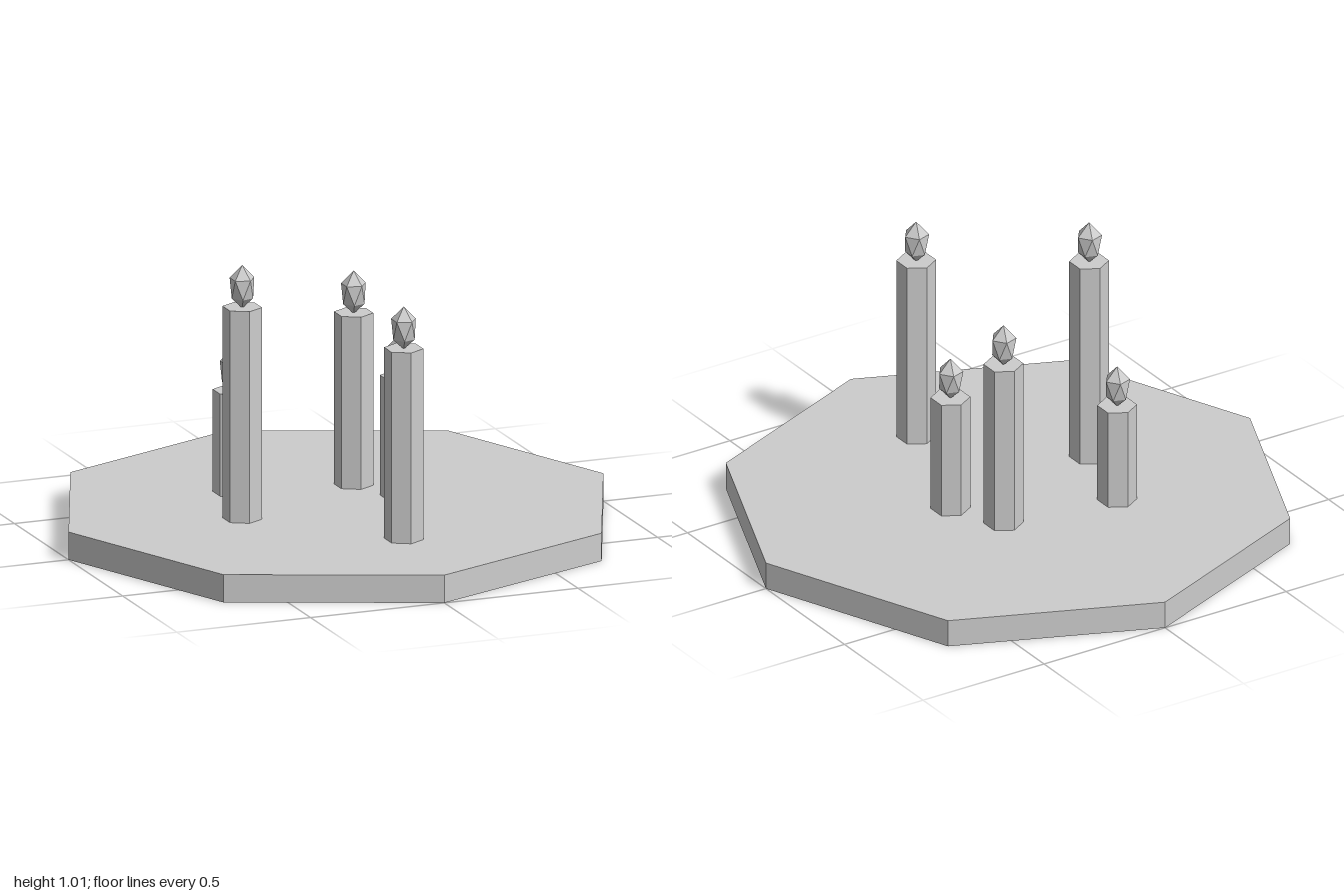
import * as THREE from 'three';

const stone = new THREE.MeshStandardMaterial({ color: 0xcccccc, flatShading: true });
stone.name = 'pale grey';

// Pointed five-sided flame: two staggered rings between a top and a bottom tip
function flameGeometry() {
  const points = [];
  const ring = (y, r, turn) => {
    for (let i = 0; i < 5; i++) {
      const a = turn + (i * Math.PI * 2) / 5;
      points.push(r * Math.cos(a), y, -r * Math.sin(a));
    }
  };
  points.push(0, -0.005, 0);
  ring(0.033, 0.039, Math.PI / 5);
  ring(0.102, 0.045, 0);
  points.push(0, 0.15, 0);

  const faces = [];
  for (let i = 0; i < 5; i++) {
    const n = (i + 1) % 5;
    const low = 1 + i, lowNext = 1 + n, up = 6 + i, upNext = 6 + n;
    faces.push(0, lowNext, low, low, upNext, up, low, lowNext, upNext, up, upNext, 11);
  }
  const indexed = new THREE.BufferGeometry();
  indexed.setAttribute('position', new THREE.Float32BufferAttribute(points, 3));
  indexed.setIndex(faces);
  const geometry = indexed.toNonIndexed();
  geometry.computeVertexNormals();
  return geometry;
}

export function createModel() {
  const model = new THREE.Group();
  model.name = 'candlePlatform';

  // Octagonal slab
  const base = new THREE.Mesh(new THREE.CylinderGeometry(1, 1, 0.1, 8), stone);
  base.name = 'base';
  base.position.y = 0.05;
  model.add(base);

  // Candles: x, z and height of the top
  const flameShape = flameGeometry();
  const candles = [
    [-0.377, 0.065, 0.862],
    [-0.282, -0.26, 0.468],
    [0.044, 0.517, 0.787],
    [0.144, -0.193, 0.72],
    [0.238, 0, 0.532],
  ];
  for (const [x, z, top] of candles) {
    const candle = new THREE.Group();
    candle.name = 'candle';
    candle.position.set(x, 0, z);

    const height = top - 0.1;
    const stick = new THREE.Mesh(new THREE.CylinderGeometry(0.069, 0.069, height, 6), stone);
    stick.name = 'candleStick';
    stick.position.y = 0.1 + height / 2;

    const flame = new THREE.Mesh(flameShape, stone);
    flame.name = 'flame';
    flame.position.y = top;

    candle.add(stick, flame);
    model.add(candle);
  }
  return model;
}
